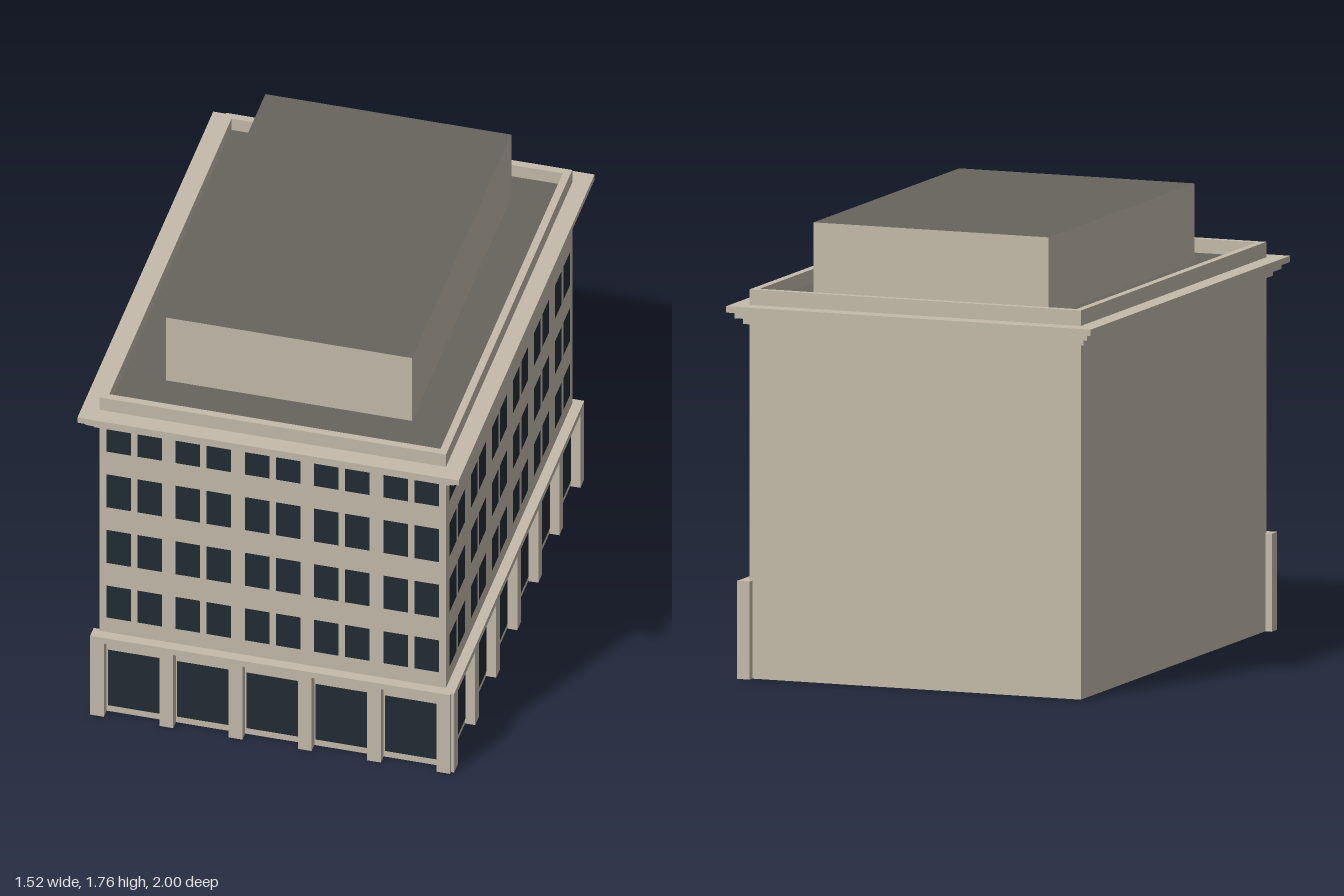
import * as THREE from 'three';

const W = 0.69, D = 0.93; // half width and half depth of the walls

export function createModel() {
  const stone = new THREE.MeshStandardMaterial({ color: 0xc4bbaa, side: THREE.DoubleSide });
  const roof = new THREE.MeshStandardMaterial({ color: 0x67645d });
  const glass = new THREE.MeshStandardMaterial({ color: 0x222c35 });
  stone.name = 'stone';
  roof.name = 'roof';
  glass.name = 'glass';

  const model = new THREE.Group();
  model.name = 'building';

  const add = (parent, name, geometry, material, x, y, z) => {
    const mesh = new THREE.Mesh(geometry, material);
    mesh.name = name;
    mesh.position.set(x, y, z);
    parent.add(mesh);
    return mesh;
  };
  // Box given by its ranges along each axis
  const box = (parent, name, material, x0, x1, y0, y1, z0, z1) =>
    add(parent, name, new THREE.BoxGeometry(x1 - x0, y1 - y0, z1 - z0), material,
      (x0 + x1) / 2, (y0 + y1) / 2, (z0 + z1) / 2);

  // Wall shell, open at the bottom
  const wallTop = 1.39;
  for (let i = 0; i < 4; i++) {
    const side = i % 2 === 1;
    const sign = i < 2 ? 1 : -1;
    const wall = add(model, 'wall', new THREE.PlaneGeometry(side ? 2 * D : 2 * W, wallTop), stone,
      side ? sign * W : 0, wallTop / 2, side ? 0 : sign * D);
    wall.rotation.y = i * Math.PI / 2;
  }

  // Street facade, built facing +z with the wall surface at z = 0
  const floors = [[0.455, 0.61], [0.72, 0.88], [0.99, 1.15], [1.26, 1.38]];
  function facade(name, half, bays, shopWidth) {
    const group = new THREE.Group();
    group.name = name;
    const step = 2 * half / bays;
    const pillar = 0.0275;
    for (let i = 0; i <= bays; i++) {
      const x = -half + i * step;
      box(group, 'pillar', stone, x - pillar, x + pillar, 0, 0.355, -0.012, 0.04);
    }
    box(group, 'lintel', stone, -half - pillar, half + pillar, 0.355, 0.382, -0.012, 0.04);
    for (let i = 0; i < bays; i++) {
      const x = -half + (i + 0.5) * step;
      add(group, 'shopWindow', new THREE.PlaneGeometry(shopWidth, 0.27), glass, x, 0.165, 0.003);
      for (const [y0, y1] of floors) {
        for (const s of [-1, 1]) {
          add(group, 'window', new THREE.PlaneGeometry(0.098, y1 - y0), glass,
            x + s * 0.062, (y0 + y1) / 2, 0.003);
        }
      }
    }
    model.add(group);
    return group;
  }
  facade('frontFacade', W, 5, 0.21).position.z = D;
  const sideFacade = facade('sideFacade', D, 6, 0.245);
  sideFacade.position.x = W;
  sideFacade.rotation.y = Math.PI / 2;

  // Stepped cornice
  for (let i = 0; i < 3; i++) {
    const out = 0.02 + i * 0.025;
    const y = 1.382 + i * 0.0243;
    box(model, 'cornice', stone, -W - out, W + out, y, y + 0.0243, -D - out, D + out);
  }

  // Parapet ring around the roof deck
  const rect = (path, x, y) =>
    path.moveTo(-x, -y).lineTo(x, -y).lineTo(x, y).lineTo(-x, y).closePath();
  const ring = rect(new THREE.Shape(), W, D);
  ring.holes.push(rect(new THREE.Path(), W - 0.03, D - 0.03));
  const parapet = new THREE.ExtrudeGeometry(ring, { depth: 0.06, bevelEnabled: false });
  parapet.rotateX(-Math.PI / 2);
  add(model, 'parapet', parapet, stone, 0, 1.455, 0);
  box(model, 'roofDeck', roof, -W + 0.03, W - 0.03, 1.452, 1.46, -D + 0.03, D - 0.03);

  // Rooftop block with a dark top face
  const block = box(model, 'penthouse', stone, -0.49, 0.49, 1.45, 1.765, -0.77, 0.69);
  block.material = [stone, stone, roof, stone, stone, stone];

  return model;
}
